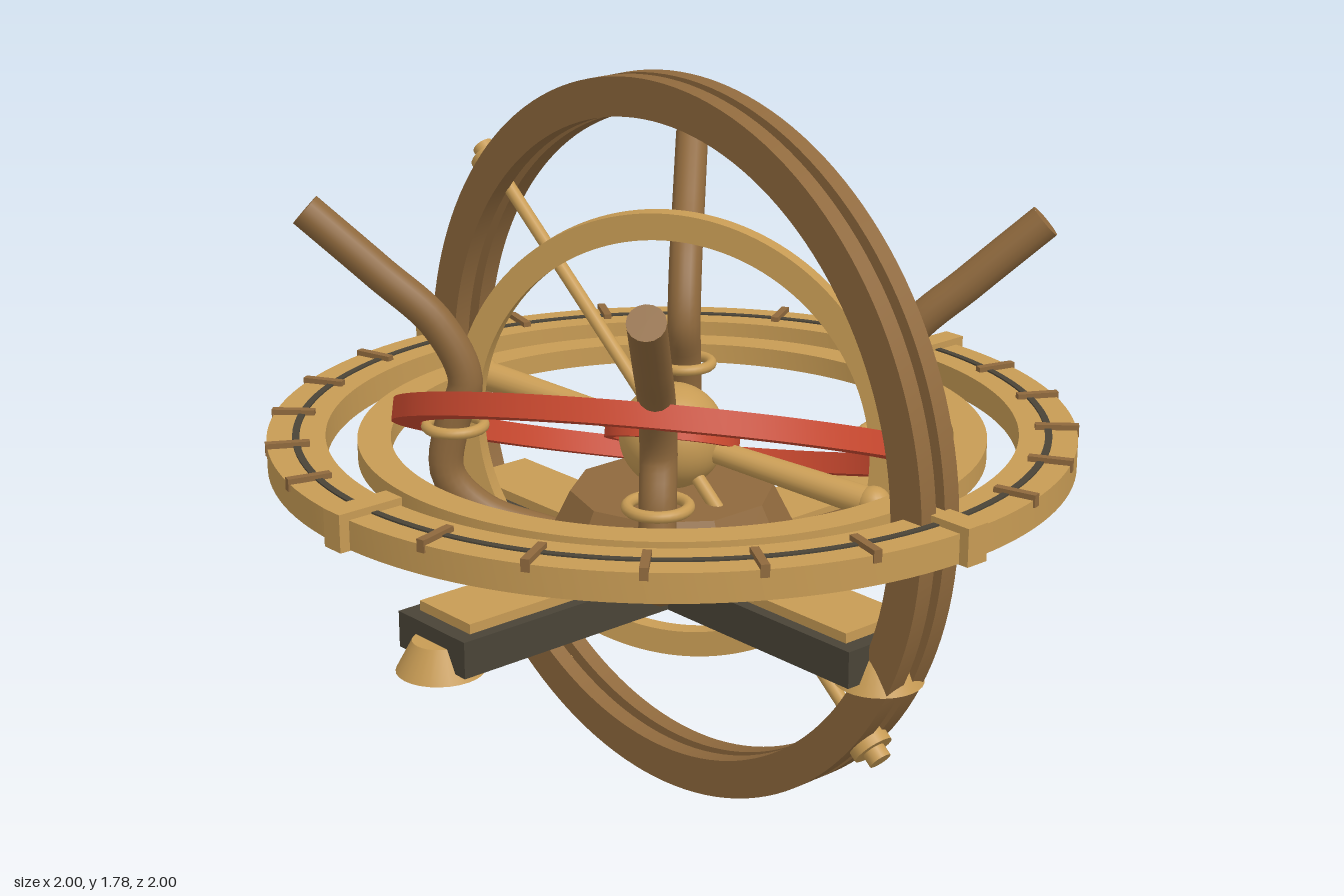
import * as THREE from 'three';
import { toCreasedNormals } from 'three/addons/utils/BufferGeometryUtils.js';

const mat = (name, color) => {
  const m = new THREE.MeshStandardMaterial({ color });
  m.name = name;
  return m;
};
const CY = 0.89; // height of the sphere's centre
const rad = THREE.MathUtils.degToRad;
const V = (x, y, z) => new THREE.Vector3(x, y, z);

export function createModel() {
  const brass = mat('brass', 0xc79b54);
  const bronze = mat('bronze', 0x8f693d);
  const red = mat('red lacquer', 0xcd4a30);
  const dark = mat('dark stone', 0x4a4437);
  const model = new THREE.Group();
  model.name = 'armillarySphere';

  const add = (parent, name, geo, material, x = 0, y = 0, z = 0) => {
    const m = new THREE.Mesh(geo, material);
    m.name = name;
    m.position.set(x, y, z);
    parent.add(m);
    return m;
  };
  const group = (name, parent = model, y = 0) => {
    const g = new THREE.Group();
    g.name = name;
    g.position.y = y;
    parent.add(g);
    return g;
  };
  // flat band with rectangular section, facing z
  const band = (outer, inner, depth) => {
    const s = new THREE.Shape().absarc(0, 0, outer, 0, Math.PI * 2);
    s.holes.push(new THREE.Path().absarc(0, 0, inner, 0, Math.PI * 2, true));
    const g = new THREE.ExtrudeGeometry(s, { depth, bevelEnabled: false, curveSegments: 72 });
    return toCreasedNormals(g.translate(0, 0, -depth / 2), 0.6);
  };
  const flatBand = (o, i, d) => band(o, i, d).rotateX(Math.PI / 2);
  // cylinder between two points, radius ra at a and rb at b
  const rod = (parent, name, a, b, ra, rb, material, sides = 20) => {
    const d = b.clone().sub(a);
    const m = add(parent, name, new THREE.CylinderGeometry(rb, ra, d.length(), sides), material);
    m.position.copy(a).add(b).multiplyScalar(0.5);
    m.quaternion.setFromUnitVectors(V(0, 1, 0), d.normalize());
    return m;
  };

  // Base: crossed beams with top plates and flared feet
  const base = group('base');
  for (let i = 0; i < 2; i++) {
    const arm = group('baseArm', base);
    arm.rotation.y = i * Math.PI / 2;
    add(arm, 'beam', new THREE.BoxGeometry(1.48, 0.09, 0.25), dark, 0, 0.56, 0);
    add(arm, 'beamPlate', new THREE.BoxGeometry(1.4, 0.025, 0.19), brass, 0, 0.617, 0);
    for (const s of [-1, 1])
      add(arm, 'foot', new THREE.CylinderGeometry(0.065, 0.105, 0.075, 28), brass, s * 0.715, 0.53, 0);
  }
  const pedestal = new THREE.CylinderGeometry(0.25, 0.33, 0.16, 10).toNonIndexed();
  pedestal.computeVertexNormals();
  add(base, 'pedestal', pedestal, bronze, 0, 0.685, 0);

  // Four curved pillars with collars, along the diagonals
  const profile = [[0.2, 0.63], [0.33, 0.695], [0.39, 0.79], [0.38, 0.92],
    [0.355, 1.03], [0.4, 1.17], [0.5, 1.3], [0.62, 1.45]];
  const path = new THREE.CatmullRomCurve3(profile.map(([d, y]) => V(d, y, d)));
  for (let i = 0; i < 4; i++) {
    const p = group('pillar', model);
    p.rotation.y = i * Math.PI / 2;
    add(p, 'pillarShaft', new THREE.TubeGeometry(path, 48, 0.043, 16), bronze);
    for (const t of [0, 1]) {
      const cap = add(p, 'pillarEnd', new THREE.CircleGeometry(0.043, 16), bronze);
      cap.position.copy(path.getPoint(t));
      cap.quaternion.setFromUnitVectors(V(0, 0, 1), path.getTangent(t).multiplyScalar(t ? 1 : -1));
    }
    add(p, 'pillarCollar', new THREE.TorusGeometry(0.07, 0.014, 12, 32).rotateX(Math.PI / 2),
      brass, 0.375, 0.915, 0.375);
  }

  // Horizon ring with groove, graduations and four cardinal blocks
  const horizon = group('horizon', model, 0.9);
  add(horizon, 'horizonRing', flatBand(0.975, 0.835, 0.07), brass);
  add(horizon, 'horizonGroove', flatBand(0.914, 0.897, 0.006), dark, 0, 0.036, 0);
  for (let i = 0; i < 24; i++) {
    const g = group('graduation', horizon);
    g.rotation.y = i * Math.PI / 12;
    if (i % 6 === 0) {
      add(g, 'cardinalBlock', new THREE.BoxGeometry(0.17, 0.09, 0.06), brass, 0.915, 0.008, 0);
    } else {
      add(g, 'tick', new THREE.BoxGeometry(0.105, 0.03, 0.02), bronze, 0.927, 0.033, 0);
    }
  }
  // Equator ring inside the horizon
  add(model, 'equatorRing', flatBand(0.76, 0.68, 0.05), brass, 0, 0.895, 0);

  // Double meridian ring joined by spacers
  const meridian = group('meridian', model, CY);
  for (const s of [-1, 1])
    add(meridian, 'meridianRing', band(0.89, 0.795, 0.046), bronze, 0, 0, s * 0.037);
  for (let i = 0; i < 12; i++) {
    const a = i * Math.PI / 6;
    add(meridian, 'spacer', new THREE.CylinderGeometry(0.016, 0.016, 0.04, 10).rotateX(Math.PI / 2),
      brass, 0.843 * Math.cos(a), 0.843 * Math.sin(a), 0);
  }

  // Polar axis with end knobs
  const axis = group('polarAxis', model, CY);
  axis.rotation.z = rad(50.5);
  add(axis, 'axisRod', new THREE.CylinderGeometry(0.017, 0.017, 1.8, 16), brass);
  for (const s of [-1, 1]) {
    add(axis, 'axisKnob', new THREE.CylinderGeometry(0.05, 0.05, 0.035, 20), brass, 0, s * 0.895, 0);
    add(axis, 'axisKnobTip', new THREE.CylinderGeometry(0.028, 0.028, 0.035, 16), brass, 0, s * 0.925, 0);
  }

  // Upright inner ring, turned about the vertical
  const inner = add(model, 'innerRing', band(0.565, 0.5, 0.045), brass, 0, CY + 0.003, 0);
  inner.rotation.y = rad(30);

  // Tilted red ecliptic rings with a sun bead
  const ecliptic = group('ecliptic', model, CY + 0.005);
  ecliptic.rotation.set(rad(-23.5), rad(35), 0, 'YXZ');
  add(ecliptic, 'eclipticRing', flatBand(0.68, 0.61, 0.055), red);
  add(ecliptic, 'globeRing', flatBand(0.165, 0.142, 0.03), red);
  add(ecliptic, 'sunBead', new THREE.SphereGeometry(0.033, 20, 14), brass, -0.112, 0.035, -0.635);

  // Central globe and sighting tube
  add(model, 'globe', new THREE.SphereGeometry(0.13, 36, 24), brass, 0, 0.9, 0);
  const sight = group('sightingTube', model, 0.895);
  const dir = V(0.5, -0.08, -0.19);
  for (const s of [-1, 1]) {
    const end = dir.clone().multiplyScalar(s);
    rod(sight, 'sightArm', V(0, 0, 0), end, 0.026, 0.037, brass);
    const ball = add(sight, 'sightEnd', new THREE.SphereGeometry(0.043, 20, 14), brass);
    ball.position.copy(end);
  }
  return model;
}
